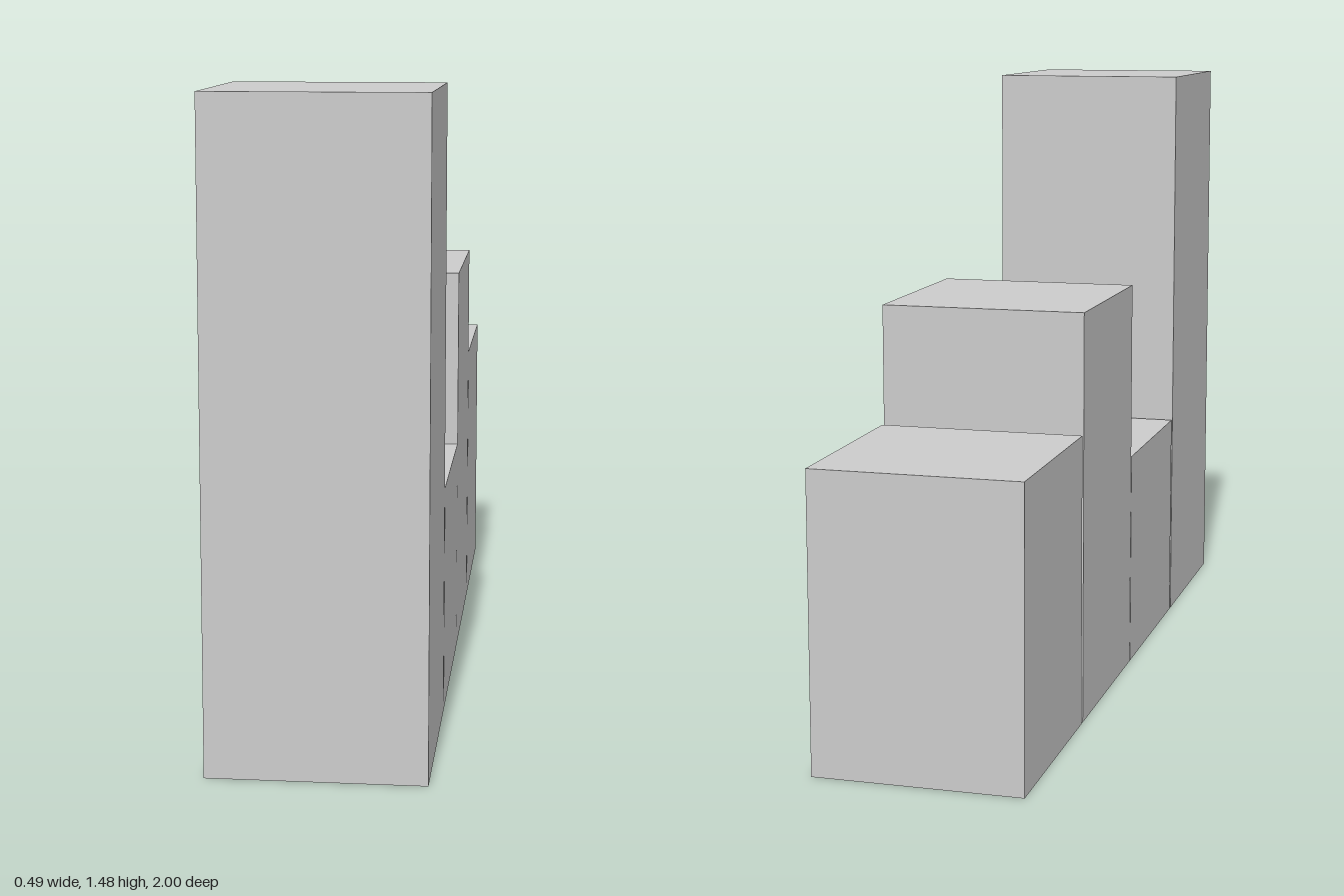
import * as THREE from 'three';

export function createModel() {
  const group = new THREE.Group();
  const material = new THREE.MeshStandardMaterial({ color: 0xcccccc, flatShading: true });
  const width = 0.487, depth = 0.493;

  // Row of square columns from front to back: name, height, centre z
  const columns = [
    ['frontColumn', 1.475, 0.7535],
    ['frontMiddleColumn', 0.538, 0.249],
    ['backMiddleColumn', 0.977, -0.248],
    ['backColumn', 0.693, -0.7535],
  ];

  for (const [name, height, z] of columns) {
    const column = new THREE.Mesh(new THREE.BoxGeometry(width, height, depth), material);
    column.name = name;
    column.position.set(0, height / 2, z);
    group.add(column);
  }
  return group;
}
